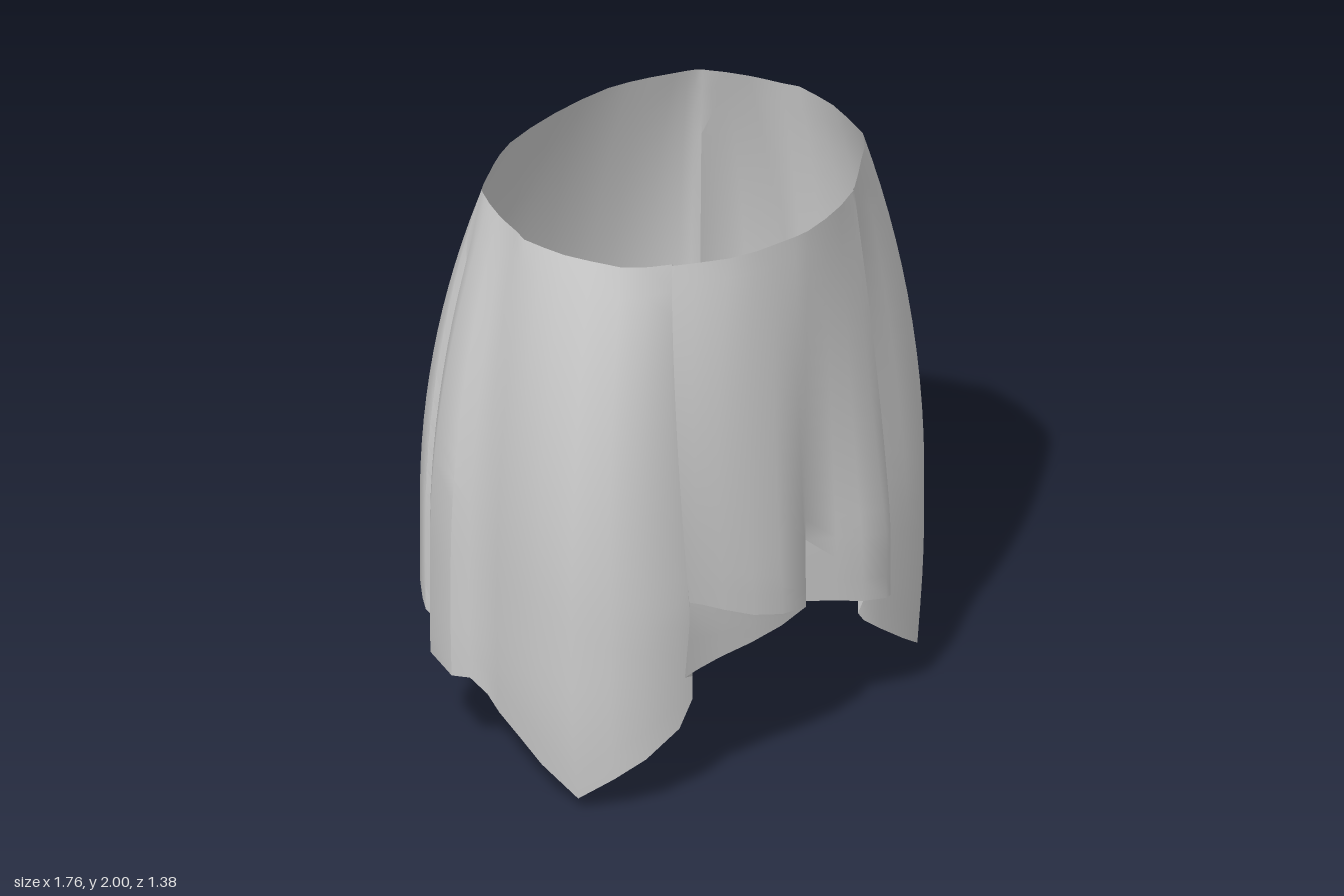
import * as THREE from 'three';
import { toCreasedNormals } from 'three/addons/utils/BufferGeometryUtils.js';

const { clamp, lerp, smoothstep } = THREE.MathUtils;
const ROWS = 18;

// Columns run from waist to hem: [waist x, waist z, hem x, hem z, hem height]
// Left half, from the middle of the back to the front pleat
const leftHalf = [
  [0, -.5, 0, -.69, .45], [.13, -.495, .13, -.69, .45], [.25, -.48, .25, -.685, .45],
  [.33, -.455, .35, -.67, .447], [.4, -.425, .43, -.65, .445], [.48, -.385, .57, -.6, .44],
  [.52, -.365, .65, -.52, .43], [.545, -.35, .675, -.485, .41], [.56, -.335, .66, -.43, .36],
  [.575, -.31, .74, -.41, .355], [.6, -.27, .81, -.35, .35], [.635, -.2, .855, -.22, .325],
  [.655, -.15, .82, -.17, .32], [.675, -.09, .815, -.1, .28], [.7, -.03, .84, -.03, .245],
  [.695, .05, .865, .08, .195], [.685, .13, .88, .18, .12], [.655, .22, .87, .32, 0],
  [.615, .32, .8, .43, .035], [.55, .385, .71, .5, .07], [.48, .43, .58, .54, .15],
];

// Front panel with a folded pleat at each end, from left to right
const front = [
  [.4, .485, .42, .57, .26], [.33, .53, .32, .58, .335], [.31, .54, .295, .575, .37],
  [.305, .543, .31, .6, .45], [.31, .545, .39, .635, .42], [.29, .55, .31, .685, .46],
  [.2, .58, .2, .675, .49], [.1, .6, .1, .65, .525], [0, .61, -.02, .615, .56],
  [-.06, .605, -.07, .66, .575], [-.14, .59, -.2, .67, .605], [-.22, .575, -.33, .655, .65],
  [-.32, .54, -.45, .63, .71], [-.42, .48, -.54, .618, .76], [-.49, .435, -.6, .615, .79],
  [-.487, .436, -.52, .55, .46], [-.485, .433, -.515, .545, .37],
];

// Mirrored half, its front corner cut a little higher
const rightHalf = leftHalf.map(([tx, tz, bx, bz, hem]) => [
  -tx, tz, -bx, bz,
  hem + .045 * smoothstep(bz, .1, .32) + .085 * smoothstep(bz, .33, .5),
]).reverse();

// Point of a column at height y: flares quickly below the waist, tucks in near the tips
function surfacePoint([tx, tz, bx, bz], y) {
  const s = clamp((waistHeight(tz) - y) / 1.25, 0, 1);
  const flare = 1 - (1 - s) ** 2;
  const flareZ = lerp(flare, s ** 1.3, smoothstep(tz, .2, .6));
  const tuck = 1 - .05 * Math.max(0, (.5 - y) / .5) ** 2;
  return new THREE.Vector3(lerp(tx, bx, flare) * tuck, y, lerp(tz, bz, flareZ));
}

function waistHeight(z) {
  return 1.977 - .045 * z;
}

// Sheet through columns of points
function sheet(name, columnCount, rows, pointAt) {
  const positions = [], index = [];
  for (let i = 0; i < columnCount; i++) {
    for (let j = 0; j <= rows; j++) {
      positions.push(...pointAt(i, j / rows).toArray());
      if (i === columnCount - 1 || j === rows) continue;
      const a = i * (rows + 1) + j, b = a + rows + 1;
      index.push(a, b, a + 1, b, b + 1, a + 1);
    }
  }
  const geometry = new THREE.BufferGeometry();
  geometry.setAttribute('position', new THREE.Float32BufferAttribute(positions, 3));
  geometry.setIndex(index);
  const mesh = new THREE.Mesh(
    toCreasedNormals(geometry, 0.9),
    new THREE.MeshStandardMaterial({ color: 0xcccccc, side: THREE.DoubleSide })
  );
  mesh.name = name;
  return mesh;
}

export function createModel() {
  const group = new THREE.Group();
  group.name = 'skirt';

  // Skirt body, one closed loop of columns
  const columns = [...leftHalf, ...front, ...rightHalf];
  group.add(sheet('skirtBody', columns.length, ROWS, (i, v) => {
    const c = columns[i];
    return surfacePoint(c, lerp(waistHeight(c[1]), c[4], v));
  }));

  // Turned-back triangle under the slanting front hem, ending in the right pleat
  const flapColumns = front.slice(9, 16);
  const flapHem = [.575, .56, .542, .525, .51, .5, .46];
  group.add(sheet('frontHemFlap', flapColumns.length, 4, (i, v) => {
    const c = flapColumns[i];
    const p = surfacePoint(c, lerp(c[4], flapHem[i], v));
    p.z -= .1 * (c[4] - flapHem[i]) * v;
    return p;
  }));

  return group;
}
